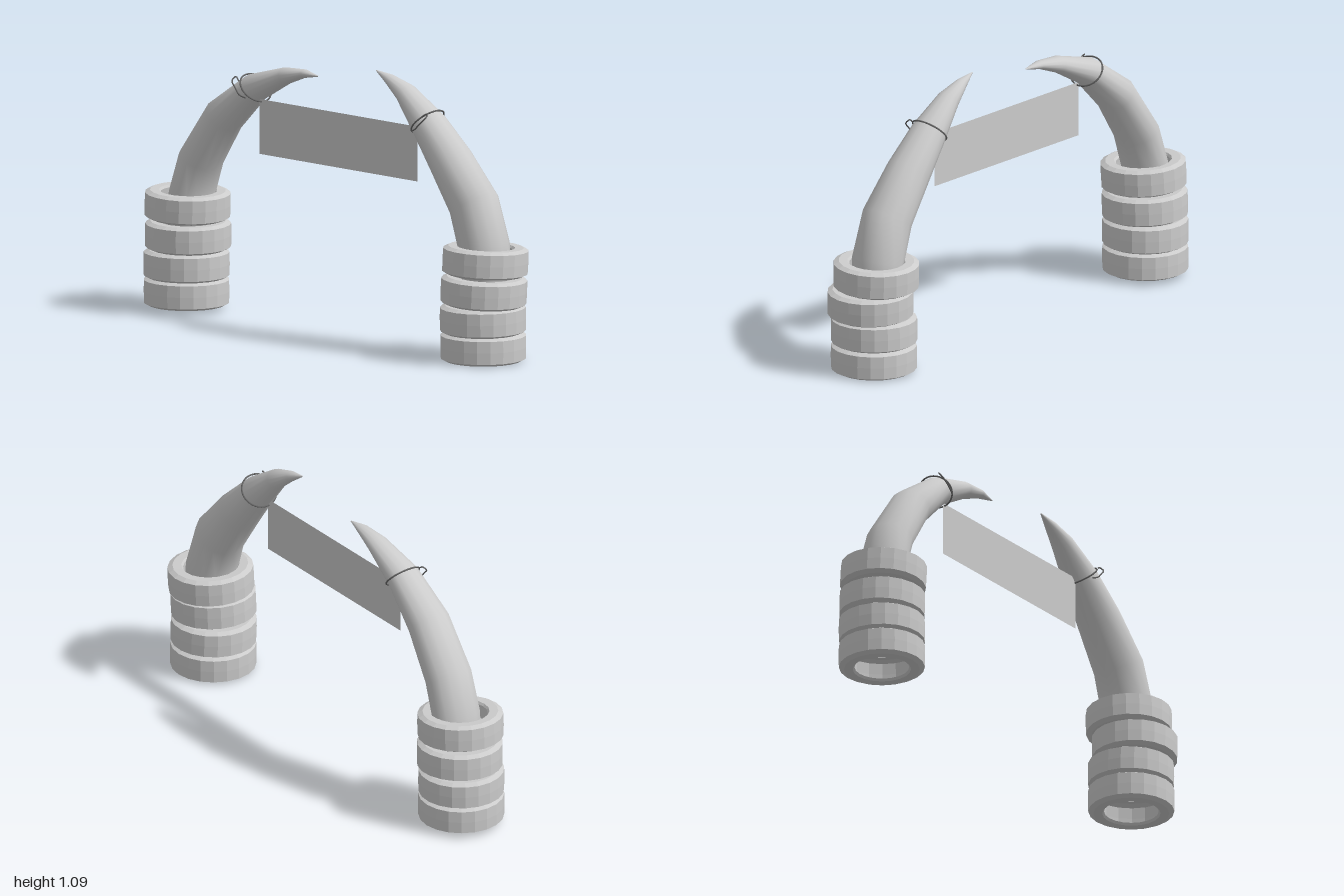
import * as THREE from 'three';

const tuskMat = new THREE.MeshStandardMaterial({ color: 0xcccccc });
const tireMat = new THREE.MeshStandardMaterial({ color: 0xcccccc, flatShading: true, side: THREE.DoubleSide });
const ropeMat = new THREE.MeshStandardMaterial({ color: 0x666666 });
const bannerMat = new THREE.MeshStandardMaterial({ color: 0xcccccc, side: THREE.DoubleSide });

const SIDES = 14;
const Z_OFF = -0.012;

function add(parent, name, geometry, material) {
  const mesh = new THREE.Mesh(geometry, material);
  mesh.name = name;
  parent.add(mesh);
  return mesh;
}

// Point on an oval cross-section lying across the direction (tx, ty)
function ovalPoint(x, y, tx, ty, h, hz, angle) {
  const c = Math.cos(angle) * h;
  return new THREE.Vector3(x - ty * c, y + tx * c, Z_OFF * Math.min(1, hz / 0.06) + Math.sin(angle) * hz);
}

// Tusk lofted through stations [x, y, half width in the bend plane, half width in z]
function tuskGeometry(stations) {
  const pos = [], index = [];
  stations.forEach(([x, y, h, hz], i) => {
    const p = stations[Math.max(0, i - 1)];
    const n = stations[Math.min(stations.length - 1, i + 1)];
    const d = new THREE.Vector2(n[0] - p[0], n[1] - p[1]).normalize();
    for (let j = 0; j < SIDES; j++) {
      pos.push(...ovalPoint(x, y, d.x, d.y, h, hz, (j / SIDES) * Math.PI * 2).toArray());
    }
    if (i === stations.length - 1) return;
    for (let j = 0; j < SIDES; j++) {
      const a = i * SIDES + j, b = i * SIDES + ((j + 1) % SIDES);
      index.push(a, b, a + SIDES, b, b + SIDES, a + SIDES);
    }
  });
  const g = new THREE.BufferGeometry();
  g.setAttribute('position', new THREE.Float32BufferAttribute(pos, 3));
  g.setIndex(index);
  g.computeVertexNormals();
  return g;
}

// Hollow tire: tread, bevelled shoulders and side walls ending in open inner lips
const tireGeometry = new THREE.LatheGeometry(
  [
    [0.108, -0.046], [0.115, -0.055], [0.15, -0.056], [0.17, -0.046],
    [0.171, 0], [0.17, 0.046], [0.15, 0.056], [0.115, 0.055], [0.108, 0.046],
  ].map(([r, y]) => new THREE.Vector2(r, y)), 20);

// Stack of tires, each [x, y, z, tilt about z, tilt about x]
function tireStack(name, tires) {
  const stack = new THREE.Group();
  stack.name = name;
  tires.forEach(([x, y, z, tiltZ, tiltX], i) => {
    const tire = add(stack, `tire${i + 1}`, tireGeometry, tireMat);
    tire.position.set(x, y, z);
    tire.rotation.set(tiltX, i * 0.4, tiltZ, 'ZXY');
  });
  return stack;
}

// Thin rope looped round a tusk, with a small knot on its front
function rope(name, x, y, tx, ty, h, hz, side) {
  const group = new THREE.Group();
  group.name = name;
  const ring = [];
  for (let j = 0; j < 16; j++) ring.push(ovalPoint(x, y, tx, ty, h, hz, (j / 16) * Math.PI * 2));
  add(group, 'ropeLoop',
    new THREE.TubeGeometry(new THREE.CatmullRomCurve3(ring, true), 40, 0.0035, 5, true), ropeMat);
  const knot = [[0.03, 0.03, 0.052], [0.055, 0.045, 0.045], [0.06, 0.03, 0.06],
    [0.035, 0.005, 0.068], [0.01, -0.02, 0.07], [-0.015, -0.03, 0.06]]
    .map(([kx, ky, kz]) => new THREE.Vector3(x + kx * side, y + ky, kz));
  add(group, 'ropeKnot',
    new THREE.TubeGeometry(new THREE.CatmullRomCurve3(knot), 24, 0.003, 5), ropeMat);
  return group;
}

export function createModel() {
  const model = new THREE.Group();

  // Tire stacks
  model.add(tireStack('leftTireStack', [
    [0.815, 0.062, 0.002, 0, 0],
    [0.813, 0.173, 0.002, 0, 0.01],
    [0.826, 0.288, 0.01, -0.04, -0.02],
    [0.815, 0.404, -0.01, -0.02, -0.04],
  ]));
  model.add(tireStack('rightTireStack', [
    [-0.829, 0.076, 0, 0, 0],
    [-0.829, 0.186, 0, 0, 0],
    [-0.823, 0.302, -0.003, -0.02, 0.02],
    [-0.821, 0.426, 0.002, -0.045, 0.02],
  ]));

  // Tusks, rising from the stacks and curving towards each other
  add(model, 'leftTusk', tuskGeometry([
    [0.825, 0.27, 0.004, 0.004],
    [0.825, 0.275, 0.095, 0.1],
    [0.805, 0.46, 0.1, 0.106],
    [0.75, 0.62, 0.104, 0.1],
    [0.62, 0.78, 0.088, 0.09],
    [0.5, 0.91, 0.068, 0.075],
    [0.375, 1.02, 0.04, 0.048],
    [0.29, 1.065, 0.021, 0.025],
    [0.22, 1.092, 0.002, 0.002],
  ]), tuskMat);
  add(model, 'rightTusk', tuskGeometry([
    [-0.83, 0.27, 0.004, 0.004],
    [-0.83, 0.275, 0.08, 0.1],
    [-0.81, 0.47, 0.08, 0.104],
    [-0.76, 0.615, 0.083, 0.1],
    [-0.63, 0.8, 0.078, 0.09],
    [-0.46, 0.935, 0.058, 0.07],
    [-0.285, 1.005, 0.034, 0.045],
    [-0.18, 1.027, 0.017, 0.025],
    [-0.1, 1.027, 0.002, 0.002],
  ]), tuskMat);

  // Ropes holding the banner
  model.add(rope('leftRope', 0.493, 0.92, -0.7, 0.71, 0.07, 0.077, 1));
  model.add(rope('rightRope', -0.458, 0.935, 0.75, 0.66, 0.066, 0.075, -1));

  // Banner hung between the tusks
  add(model, 'banner', new THREE.PlaneGeometry(0.875, 0.22), bannerMat).position.set(0.0125, 0.785, 0);

  return model;
}
